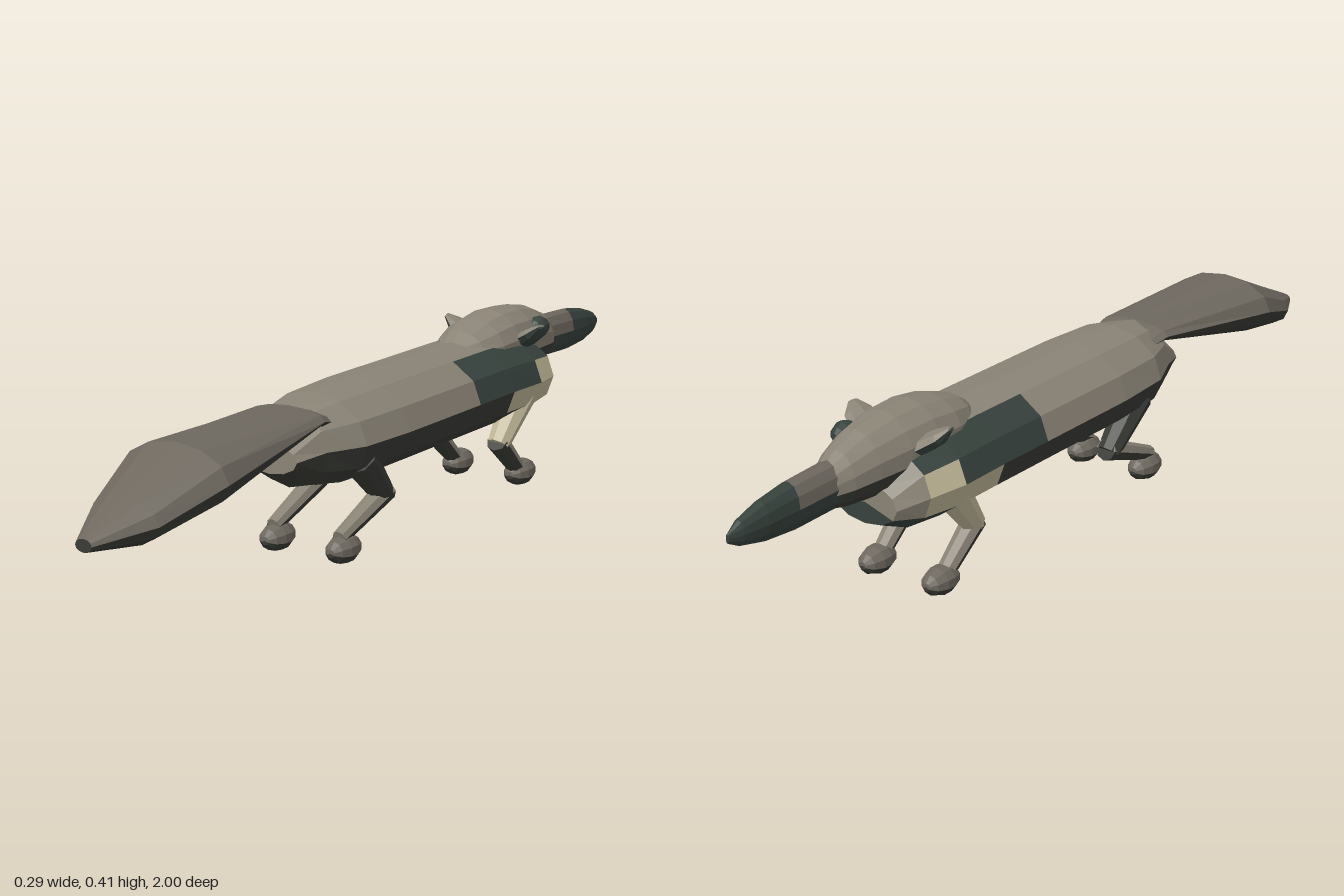
import * as THREE from 'three';

const mat = (name, color) => {
  const m = new THREE.MeshStandardMaterial({ color });
  m.name = name;
  return m;
};

export function createModel() {
  const grey = mat('warm grey fur', 0x8a8376);
  const brown = mat('tail brown grey', 0x6e685f);
  const dark = mat('dark green black', 0x37423d);
  const belly = mat('dark belly fur', 0x3a3c36);
  const cream = mat('cream', 0xc4bb9b);
  const palette = [grey, brown, dark, belly, cream];
  const group = new THREE.Group();
  group.name = 'anteater';

  // Faceted oval loft; sections are [z, half width, bottom, top] with z falling.
  // pick(zMid, angle) gives the material of a cell, angle 0 = top, 180 = bottom.
  function loft(name, sections, sides, pick) {
    const cells = new Map(palette.map((m) => [m, []]));
    const point = ([z, w, b, t], k) => {
      const a = (k / sides) * Math.PI * 2;
      return [w * Math.sin(a), (b + t) / 2 + ((t - b) / 2) * Math.cos(a), z];
    };
    const last = sections.length - 1;
    for (let k = 0; k < sides; k++) {
      const mid = ((k + 0.5) / sides) * 360;
      const angle = mid > 180 ? 360 - mid : mid;
      for (let i = 0; i < last; i++) {
        const s = sections[i], e = sections[i + 1];
        const A = point(s, k), B = point(s, k + 1), C = point(e, k + 1), D = point(e, k);
        cells.get(pick((s[0] + e[0]) / 2, angle)).push(...A, ...B, ...C, ...A, ...C, ...D);
      }
      // end caps
      for (const i of [0, last]) {
        const s = sections[i];
        const c = [0, (s[2] + s[3]) / 2, s[0]], A = point(s, k), B = point(s, k + 1);
        cells.get(pick(s[0], angle)).push(...c, ...(i ? A : B), ...(i ? B : A));
      }
    }
    const positions = [], used = [];
    const geo = new THREE.BufferGeometry();
    for (const [m, p] of cells) {
      if (!p.length) continue;
      geo.addGroup(positions.length / 3, p.length / 3, used.length);
      used.push(m);
      for (const v of p) positions.push(v);
    }
    geo.setAttribute('position', new THREE.Float32BufferAttribute(positions, 3));
    geo.computeVertexNormals();
    const mesh = new THREE.Mesh(geo, used);
    mesh.name = name;
    group.add(mesh);
    return mesh;
  }
  const twoTone = (top, bottom) => (z, a) => (a > 90 ? bottom : top);

  // Trunk with shoulder patches and dark belly
  loft('body', [
    [0.41, 0.07, 0.215, 0.28], [0.34, 0.095, 0.17, 0.345], [0.25, 0.135, 0.157, 0.358],
    [0.1, 0.147, 0.155, 0.362], [-0.19, 0.147, 0.155, 0.362], [-0.34, 0.147, 0.155, 0.362],
    [-0.465, 0.147, 0.155, 0.358], [-0.555, 0.128, 0.16, 0.345], [-0.61, 0.085, 0.185, 0.28],
  ], 12, (z, a) => {
    const shoulder = z < -0.34 && z > -0.555;
    if (shoulder && a > 90 && a < 120) return cream;
    if (shoulder && z < -0.465 && a > 60 && a < 90) return cream;
    if (z < -0.465 && a > 120) return dark;
    if (z < -0.19 && z > -0.555 && a > 30 && a < 90) return dark;
    return a > 90 && z < 0.4 && z > -0.555 ? belly : grey;
  });

  // Bushy tail
  loft('tail', [
    [1, 0.02, 0.198, 0.225], [0.88, 0.085, 0.183, 0.278], [0.72, 0.13, 0.212, 0.351],
    [0.34, 0.092, 0.3, 0.346], [0.29, 0.08, 0.29, 0.33],
  ], 12, (z, a) => (a > 90 || z > 0.99 ? belly : brown));

  // Head, dark below, and long snout
  loft('head', [
    [-0.305, 0.04, 0.31, 0.362], [-0.34, 0.068, 0.28, 0.383], [-0.4, 0.086, 0.26, 0.402],
    [-0.47, 0.088, 0.25, 0.413], [-0.55, 0.082, 0.245, 0.411], [-0.63, 0.066, 0.246, 0.396],
    [-0.69, 0.05, 0.25, 0.373], [-0.73, 0.032, 0.258, 0.35],
  ], 14, (z, a) => (a > 95 ? belly : grey));
  loft('snout', [
    [-0.68, 0.036, 0.255, 0.36], [-0.83, 0.031, 0.25, 0.354], [-0.91, 0.025, 0.256, 0.342],
    [-0.97, 0.016, 0.27, 0.324], [-1, 0.004, 0.286, 0.305],
  ], 12, (z, a) => (z > -0.83 && a < 90 ? brown : dark));

  // Leg segment between two points
  const limb = (name, from, to, r0, r1, pick) => {
    const a = new THREE.Vector3(...from), b = new THREE.Vector3(...to);
    const mesh = loft(name, [[a.distanceTo(b), r1, -r1, r1], [0, r0, -r0, r0]], 8, pick);
    mesh.position.copy(a);
    mesh.lookAt(b);
  };
  // Rounded pad used for feet and the eye
  const ball = (name, pos, [w, h, d], pick) => {
    const sections = [0.3, 0.8, 1.35, 1.8, 2.35, 2.85].map((t) => {
      const r = Math.sin(t);
      return [d * Math.cos(t), w * r, -h * r, h * r];
    });
    loft(name, sections, 10, pick).position.set(...pos);
  };

  for (const s of [1, -1]) {
    const side = s > 0 ? 'left' : 'right';
    // Front leg
    limb(side + 'FrontUpperLeg', [s * 0.095, 0.235, -0.46], [s * 0.088, 0.12, -0.37], 0.042, 0.026, () => cream);
    limb(side + 'FrontLowerLeg', [s * 0.088, 0.13, -0.365], [s * 0.085, 0.045, -0.46], 0.026, 0.02, twoTone(grey, belly));
    ball(side + 'FrontFoot', [s * 0.085, 0.032, -0.477], [0.033, 0.032, 0.05], twoTone(brown, belly));
    // Hind leg
    limb(side + 'HindThigh', [s * 0.09, 0.22, 0.215], [s * 0.088, 0.115, 0.115], 0.04, 0.026, () => belly);
    limb(side + 'HindShin', [s * 0.088, 0.125, 0.105], [s * 0.085, 0.058, 0.28], 0.025, 0.017, twoTone(grey, belly));
    ball(side + 'HindFoot', [s * 0.085, 0.032, 0.265], [0.033, 0.032, 0.05], twoTone(brown, belly));
    // Ear, dark underneath
    const ear = loft(side + 'Ear', [
      [0.072, 0.012, -0.006, 0.004], [0.045, 0.036, -0.022, 0.01], [0, 0.045, -0.026, 0.014],
    ], 8, twoTone(grey, dark));
    ear.position.set(s * 0.068, 0.345, -0.505);
    ear.lookAt(s * 0.126, 0.381, -0.49);
  }
  // Eye
  ball('eye', [0.066, 0.358, -0.588], [0.026, 0.026, 0.032], () => dark);
  return group;
}
